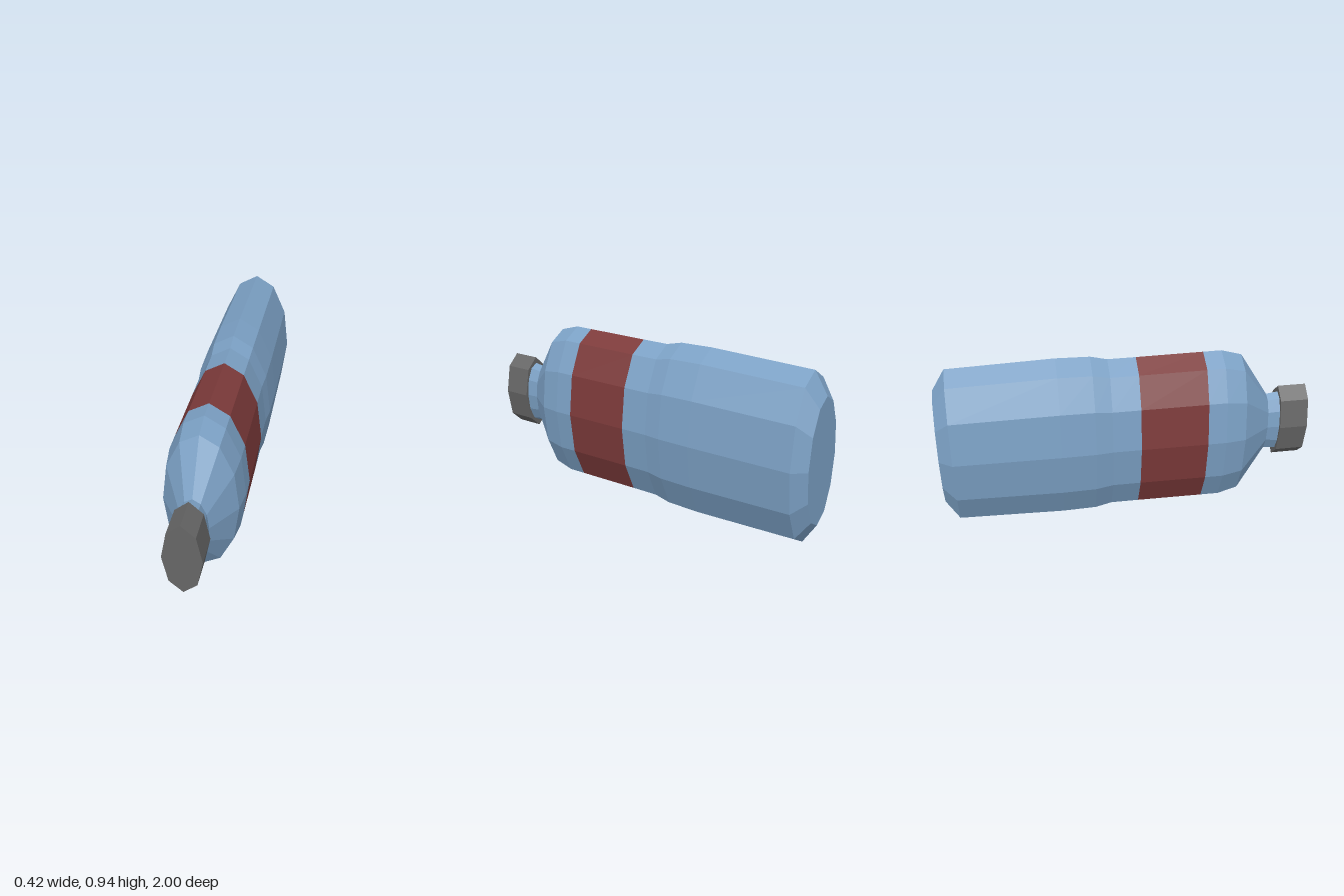
import * as THREE from 'three';

const CENTER_Y = 0.473;
const FLATTEN = 0.453; // width of the oval section relative to its height

// Faceted oval shell along z; profile is a list of [half height, z] from back to front
function ovalShell(name, profile, sides, color) {
  const points = profile.map(([r, z]) => new THREE.Vector2(r, z));
  const geometry = new THREE.LatheGeometry(points, sides);
  geometry.rotateX(Math.PI / 2);
  geometry.scale(FLATTEN, 1, 1);
  geometry.translate(0, CENTER_Y, 0);
  const material = new THREE.MeshStandardMaterial({ color, flatShading: true });
  const mesh = new THREE.Mesh(geometry, material);
  mesh.name = name;
  return mesh;
}

export function createModel() {
  const group = new THREE.Group();
  group.name = 'flatBottle';
  const blue = 0x7ba0c4, red = 0x7c3a3a, grey = 0x666666;

  // Rear body: flat base, bevel, long belly and the step down to the band
  group.add(ovalShell('rearBody', [
    [0, -1], [0.337, -1], [0.451, -0.93], [0.469, -0.37], [0.465, -0.19],
    [0.444, -0.1], [0.445, 0.05],
  ], 12, blue));

  // Coloured band around the body
  group.add(ovalShell('labelBand', [[0.445, 0.05], [0.449, 0.41]], 12, red));

  // Front body: rounded edge, sloping shoulder and flared neck
  group.add(ovalShell('shoulderAndNeck', [
    [0.449, 0.41], [0.45, 0.51], [0.419, 0.62], [0.17, 0.78], [0.18, 0.85],
  ], 12, blue));

  // Eight-sided cap
  group.add(ovalShell('cap', [
    [0, 0.845], [0.214, 0.845], [0.214, 1], [0, 1],
  ], 8, grey));

  return group;
}
